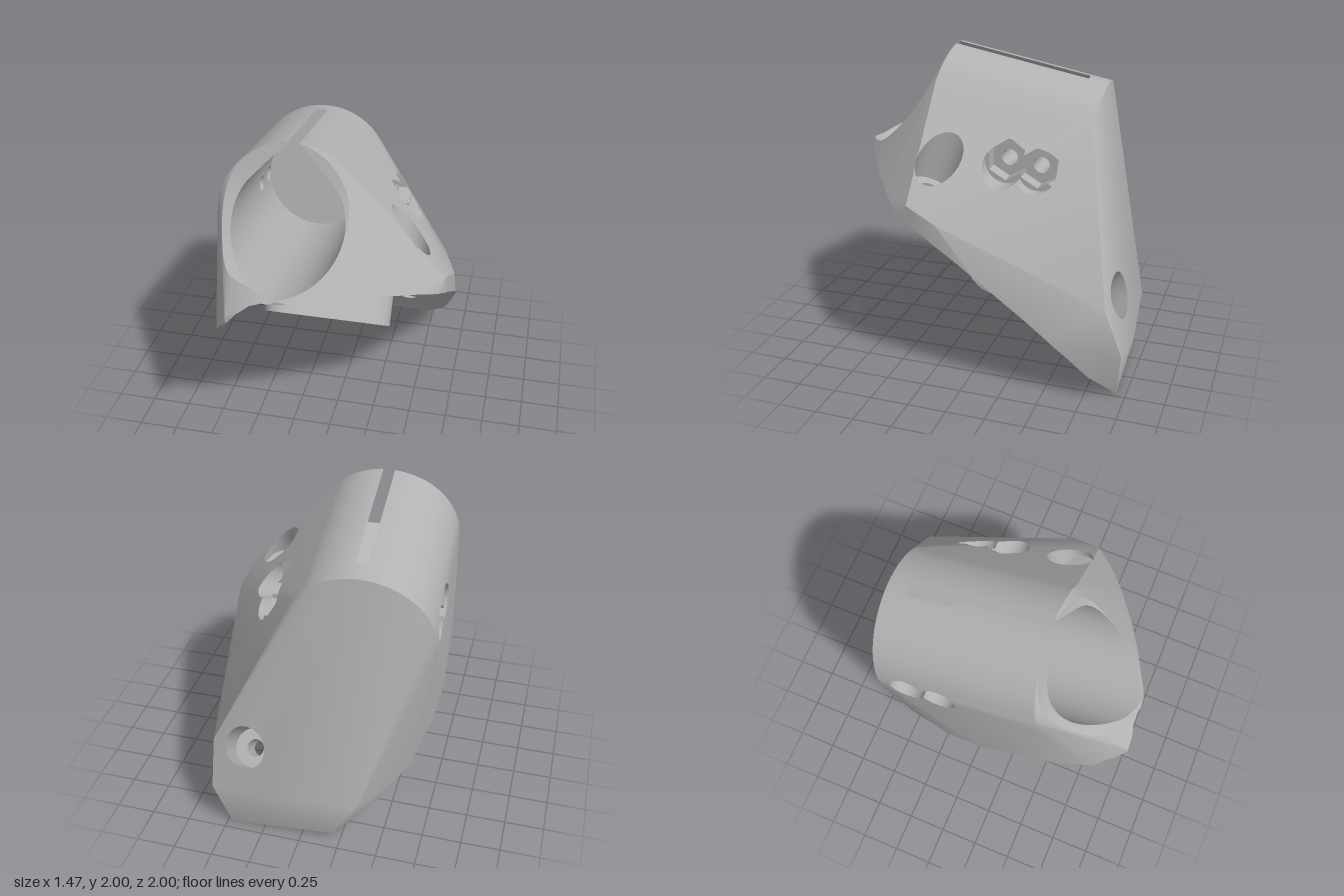
import * as THREE from 'three';
import { toCreasedNormals } from 'three/addons/utils/BufferGeometryUtils.js';
import { ConvexGeometry } from 'three/addons/geometries/ConvexGeometry.js';

const EPS = 1e-5;
const V = (x, y, z) => new THREE.Vector3(x, y, z);

// --- Small solid-cutting toolkit: polygons, plane tree, subtract ---
function makePoly(v) {
  const n = V(0, 0, 0), a = v[0].p;
  for (let i = 1; i < v.length - 1; i++) {
    n.add(v[i].p.clone().sub(a).cross(v[i + 1].p.clone().sub(a)));
  }
  if (n.length() < 1e-10) return null;
  n.normalize();
  return { v, n, w: n.dot(a) };
}

function toPolys(geometry) {
  const g = toCreasedNormals(geometry, 0.55);
  const p = g.attributes.position, q = g.attributes.normal, out = [];
  for (let i = 0; i < p.count; i += 3) {
    const tri = [0, 1, 2].map(k => ({
      p: V().fromBufferAttribute(p, i + k), n: V().fromBufferAttribute(q, i + k),
    }));
    const poly = makePoly(tri);
    if (poly) out.push(poly);
  }
  return out;
}

function split(plane, poly) {
  const s = poly.v.map(a => plane.n.dot(a.p) - plane.w);
  const hi = Math.max(...s), lo = Math.min(...s);
  if (hi < EPS && lo > -EPS) return { flat: poly };
  if (lo > -EPS) return { front: poly };
  if (hi < EPS) return { back: poly };
  const f = [], b = [];
  poly.v.forEach((a, i) => {
    const j = (i + 1) % s.length, c = poly.v[j];
    if (s[i] > -EPS) f.push(a);
    if (s[i] < EPS) b.push(a);
    if ((s[i] >= EPS && s[j] <= -EPS) || (s[i] <= -EPS && s[j] >= EPS)) {
      const t = s[i] / (s[i] - s[j]);
      const m = { p: a.p.clone().lerp(c.p, t), n: a.n.clone().lerp(c.n, t) };
      f.push(m);
      b.push(m);
    }
  });
  const part = v => (v.length > 2 ? { ...poly, v } : undefined);
  return { front: part(f), back: part(b) };
}

function buildTree(polys) {
  if (!polys.length) return null;
  const plane = polys[0], front = [], back = [];
  for (let i = 1; i < polys.length; i++) {
    const r = split(plane, polys[i]);
    if (r.front) front.push(r.front);
    if (r.back) back.push(r.back);
  }
  return { plane, front: buildTree(front), back: buildTree(back) };
}

function clip(tree, poly, keepInside) {
  const out = [];
  let lost = false;
  const walk = (node, piece) => {
    const r = split(node.plane, piece);
    if (r.flat) r[node.plane.n.dot(piece.n) > 0 ? 'front' : 'back'] = piece;
    for (const side of ['front', 'back']) {
      if (!r[side]) continue;
      if (node[side]) walk(node[side], r[side]);
      else if ((side === 'back') === keepInside) out.push(r[side]);
      else lost = true;
    }
  };
  walk(tree, poly);
  return lost ? out : [poly];
}

function subtract(body, cutter) {
  const bodyTree = buildTree(body), cutTree = buildTree(cutter);
  const kept = body.flatMap(p => clip(cutTree, p, false));
  const walls = cutter.flatMap(p => clip(bodyTree, p, true)).map(p => ({
    v: p.v.map(a => ({ p: a.p, n: a.n.clone().negate() })).reverse(),
    n: p.n.clone().negate(), w: -p.w,
  }));
  return kept.concat(walls);
}

function toGeometry(polys) {
  const pos = [], nor = [];
  for (const { v } of polys) {
    for (let i = 1; i < v.length - 1; i++) {
      for (const a of [v[0], v[i], v[i + 1]]) {
        pos.push(a.p.x, a.p.y, a.p.z);
        nor.push(...a.n.clone().normalize().toArray());
      }
    }
  }
  const g = new THREE.BufferGeometry();
  g.setAttribute('position', new THREE.Float32BufferAttribute(pos, 3));
  g.setAttribute('normal', new THREE.Float32BufferAttribute(nor, 3));
  return g;
}

// --- Shared dimensions ---
const AXIS = V(0.045, 0.2, 1).normalize();
const TILT = new THREE.Quaternion().setFromUnitVectors(V(0, 0, 1), AXIS);
const axisPoint = z => V(-0.235 + 0.045 * (z - 0.34), 1.55 + 0.2 * (z - 0.44), z);
// height of the curved underside, with a lip rolling down along the right-hand edge
const underside = (x, z) =>
  0.86 + 0.715 * z - 0.25 * z ** 2 - 0.04 * z ** 3 - 2.4 * Math.max(0, -0.36 + 0.12 * z - x) ** 2;

// Outer body: hull of the tilted tube and the flared foot
function outerBody() {
  const pts = [];
  for (const z of [0.44, -0.57]) {
    for (let i = 0; i < 56; i++) {
      const a = (i / 56) * Math.PI * 2;
      pts.push(V(Math.cos(a) * 0.46, Math.sin(a) * 0.46, 0).applyQuaternion(TILT).add(axisPoint(z)));
    }
  }
  const rim = [[-0.5, 1], [-0.2, 0.97], [0.1, 0.87], [0.3, 0.75], [0.5, 0.61], [0.65, 0.48],
    [0.71, 0.33], [0.735, 0.15], [0.735, -0.2], [0.68, -0.5], [0.61, -0.75], [-0.62, 0.85],
    [-0.69, 0.5], [-0.71, 0.1], [-0.69, -0.15], [-0.6, -0.5], [-0.45, -0.7]];
  for (const [x, z] of rim) pts.push(V(x, Math.max(0, underside(x, z) - 0.06), z));
  pts.push(V(0.47, 0, -0.94), V(-0.2, 0.04, -0.92), V(-0.36, 0.32, -0.93), V(0.3, 0.32, -1),
    V(0.57, 0.32, -0.98), V(0.58, 0.62, -0.87), V(0.735, 1.1, 0.15),
    V(0.7, 1.19, 0.35), V(-0.5, 1.17, 0.995), V(-0.2, 1.3, 0.97));
  return new ConvexGeometry(pts);
}

// Concave sweep of the front face
function frontCutter() {
  const s = new THREE.Shape();
  s.moveTo(0.35, 2.0);
  s.splineThru([[0.44, 1.76], [0.55, 1.59], [0.7, 1.44], [0.85, 1.35], [0.98, 1.3]]
    .map(p => new THREE.Vector2(...p)));
  s.lineTo(1.4, 1.28).lineTo(1.4, 2.4).lineTo(0.32, 2.4);
  return new THREE.ExtrudeGeometry(s, { depth: 3, bevelEnabled: false, curveSegments: 5 })
    .translate(0, 0, -1.5).rotateY(-Math.PI / 2);
}

// Teardrop bore joined to the clamping slot
function boreCutter() {
  const s = new THREE.Shape();
  s.absarc(0, 0, 0.345, Math.PI * 0.75, Math.PI * 2.25, false);
  s.lineTo(0.035, 0.46).lineTo(0.035, 0.8).lineTo(-0.035, 0.8).lineTo(-0.035, 0.46);
  const g = new THREE.ExtrudeGeometry(s, { depth: 2, bevelEnabled: false, curveSegments: 40 });
  const c = axisPoint(-0.44);
  return g.applyQuaternion(TILT).translate(c.x, c.y, c.z);
}

// Block with a domed top that hollows the underside
function undersideCutter() {
  const g = new THREE.BoxGeometry(2, 2, 2.6, 28, 1, 20);
  const p = g.attributes.position;
  for (let i = 0; i < p.count; i++) {
    p.setY(i, p.getY(i) > 0 ? underside(p.getX(i), p.getZ(i)) : -4);
  }
  return g;
}

// Cylinder from a start point along a direction
function drill(start, dir, radius, length, sides = 28, turn = 0) {
  const d = dir.clone().normalize();
  return new THREE.CylinderGeometry(radius, radius, length, sides, 1, false, turn)
    .translate(0, length / 2, 0)
    .applyQuaternion(new THREE.Quaternion().setFromUnitVectors(V(0, 1, 0), d))
    .translate(start.x, start.y, start.z);
}

export function createModel() {
  const grey = new THREE.MeshStandardMaterial({ color: 0xb2b2b2 });
  grey.name = 'plain grey';
  const model = new THREE.Group();
  model.name = 'clampMount';

  const cutters = [frontCutter(), undersideCutter(), boreCutter()];
  // counterbored mounting holes
  for (const [at, dir, depth] of [[V(0.46, 1.08, 0.35), V(0, 0.9, -0.33), 0.16],
    [V(0.36, 0.36, -0.6), V(0, 0.65, -0.75), 0.17]]) {
    const d = dir.normalize();
    cutters.push(drill(at.clone().addScaledVector(d, -0.2), d, 0.055, 0.5));
    cutters.push(drill(at.clone().addScaledVector(d, depth), d, 0.13, 0.6));
  }
  // clamp screws: cross hole, hex nut pocket, round relief, screw head recess
  for (const [y, z] of [[1.42, -0.17], [1.39, -0.375]]) {
    const right = V(1, 0, 0);
    cutters.push(drill(V(-0.95, y, z), right, 0.052, 1.5, 20));
    cutters.push(drill(V(0.27, y, z), right, 0.122, 0.6, 6, Math.PI / 6));
    cutters.push(drill(V(0.36, y - 0.01, z), right, 0.13, 0.5));
    cutters.push(drill(V(-0.65, y, z), V(-1, 0, 0), 0.11, 0.3));
  }
  const polys = cutters.reduce((body, c) => subtract(body, toPolys(c)), toPolys(outerBody()));
  const body = new THREE.Mesh(toGeometry(polys), grey);
  body.name = 'clampBody';
  model.add(body);

  // Rounded triangular boss under the foot
  const s = new THREE.Shape();
  s.moveTo(-0.5, -0.2);
  s.lineTo(-0.5, 0.2);
  s.quadraticCurveTo(-0.5, 0.5, -0.24, 0.385);
  s.lineTo(0.2, 0.16);
  s.bezierCurveTo(0.35, 0.085, 0.35, -0.085, 0.2, -0.16);
  s.lineTo(-0.24, -0.385);
  s.quadraticCurveTo(-0.5, -0.5, -0.5, -0.2);
  const bossGeometry = new THREE.ExtrudeGeometry(s, { depth: 0.25, bevelEnabled: false, curveSegments: 14 })
    .translate(0, 0, -0.25);
  const boss = new THREE.Mesh(toCreasedNormals(bossGeometry, 0.5), grey);
  boss.name = 'locatingBoss';
  boss.rotation.x = Math.atan2(0.8, 0.6);
  boss.position.set(0, 0.525, 0.025);
  model.add(boss);
  return model;
}
